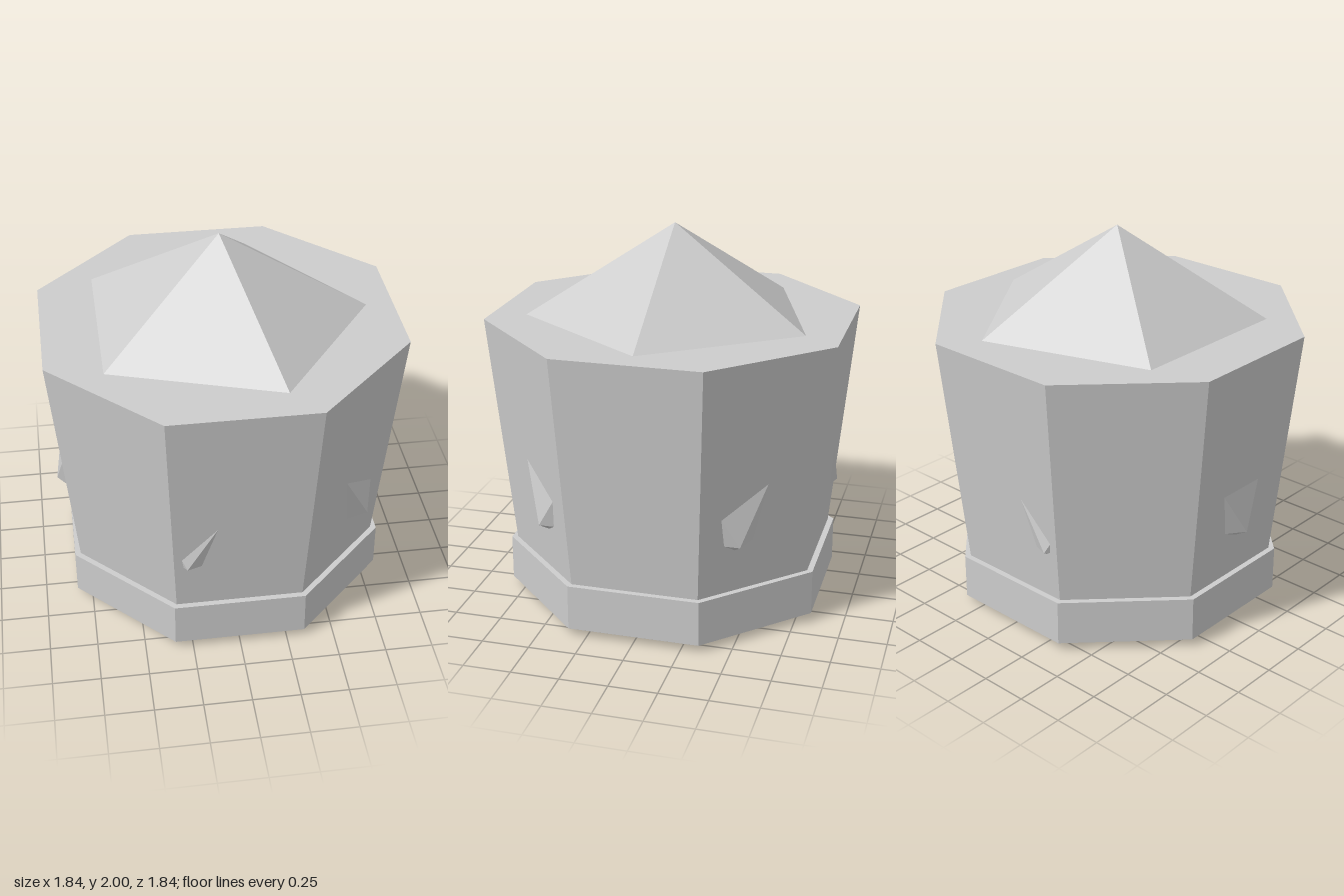
import * as THREE from 'three';
import { ConvexGeometry } from 'three/addons/geometries/ConvexGeometry.js';

export function createModel() {
  const model = new THREE.Group();
  const grey = new THREE.MeshStandardMaterial({ color: 0xcccccc, flatShading: true });
  grey.name = 'grey';

  const add = (name, geometry, y) => {
    const mesh = new THREE.Mesh(geometry, grey);
    mesh.name = name;
    mesh.position.y = y;
    model.add(mesh);
  };

  // Octagonal prism sized by the distance from its axis to its flats
  const octagon = (top, bottom, height) => {
    const k = 1 / Math.cos(Math.PI / 8);
    return new THREE.CylinderGeometry(top * k, bottom * k, height, 8).rotateY(Math.PI / 8);
  };

  // Base band and the wall that flares upward from it
  add('base', octagon(0.83, 0.83, 0.24), 0.16);
  add('wall', octagon(0.92, 0.8, 1.24), 0.9);

  // Icosahedron core: its apex forms the roof, its lower corners poke through the wall and base
  const points = [new THREE.Vector3(0, 1, 0), new THREE.Vector3(0, -1, 0)];
  const ringY = 1 / Math.sqrt(5), ringR = 2 / Math.sqrt(5);
  for (let i = 0; i < 10; i++) {
    const a = (i * Math.PI) / 5;
    points.push(new THREE.Vector3(Math.cos(a) * ringR, i % 2 ? -ringY : ringY, Math.sin(a) * ringR));
  }
  add('core', new ConvexGeometry(points), 1);

  return model;
}
